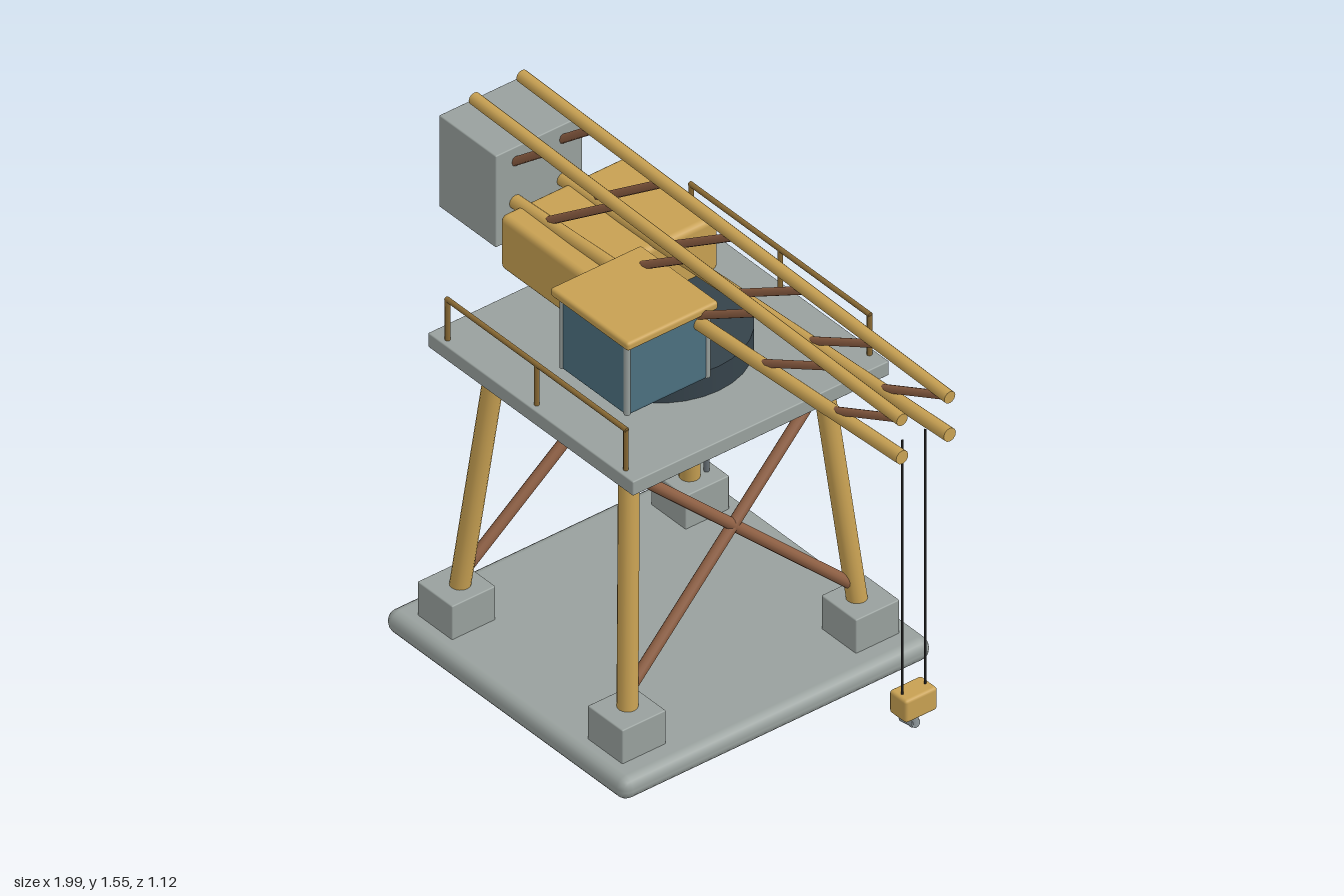
import * as THREE from 'three';
import { RoundedBoxGeometry } from 'three/addons/geometries/RoundedBoxGeometry.js';

const mat = (name, color) => {
  const m = new THREE.MeshStandardMaterial({ color });
  m.name = name;
  return m;
};

export function createModel() {
  const concrete = mat('concrete grey', 0x98a09d);
  const ochre = mat('ochre paint', 0xc7a052);
  const rust = mat('rust brown', 0x8f6044);
  const slate = mat('dark slate', 0x35424a);
  const glass = mat('cab blue', 0x4c7080);
  const bronze = mat('railing bronze', 0x8a6a34);
  const steel = mat('ladder steel', 0x666e74);
  const hookSteel = mat('hook steel', 0x8e979c);
  const black = mat('cable black', 0x1c1c1c);

  const crane = new THREE.Group();
  crane.name = 'dockCrane';
  const CX = -0.21; // centre line of the tower

  const add = (name, geometry, material) => {
    const mesh = new THREE.Mesh(geometry, material);
    mesh.name = name;
    crane.add(mesh);
    return mesh;
  };

  // Box from its limits, rounded when r > 0
  const box = (name, material, [x0, x1], [y0, y1], [z0, z1], r = 0) => {
    const s = [x1 - x0, y1 - y0, z1 - z0];
    const g = r ? new RoundedBoxGeometry(...s, 2, r) : new THREE.BoxGeometry(...s);
    add(name, g, material).position.set((x0 + x1) / 2, (y0 + y1) / 2, (z0 + z1) / 2);
  };

  // Round bar between two points
  const bar = (name, material, a, b, r, sides = 12) => {
    const p = new THREE.Vector3(...a), q = new THREE.Vector3(...b);
    const d = q.clone().sub(p);
    const mesh = add(name, new THREE.CylinderGeometry(r, r, d.length(), sides), material);
    mesh.position.copy(p).add(q).multiplyScalar(0.5);
    mesh.quaternion.setFromUnitVectors(new THREE.Vector3(0, 1, 0), d.normalize());
  };

  // Base slab and platform
  box('baseSlab', concrete, [-0.75, 0.33], [0, 0.075], [-0.56, 0.56], 0.034);
  box('platform', concrete, [-0.67, 0.25], [0.988, 1.037], [-0.463, 0.463], 0.004);

  // Footings, splayed legs and cross braces
  for (const sx of [-1, 1]) {
    for (const sz of [-1, 1]) {
      const fx = CX + sx * 0.382, fz = sz * 0.422;
      box('footing', concrete, [fx - 0.078, fx + 0.078], [0.07, 0.19], [fz - 0.079, fz + 0.079], 0.004);
      bar('leg', ochre, [CX + sx * 0.377, 0.17, sz * 0.416], [CX + sx * 0.295, 1.0, sz * 0.344], 0.031, 16);
      bar('crossBrace', rust, [CX + sx * 0.368, 0.245, sz * 0.395], [CX + sx * 0.304, 0.915, -sz * 0.335], 0.018);
    }
  }

  // Slewing ring
  add('slewingRing', new THREE.CylinderGeometry(0.27, 0.27, 0.09, 32), slate).position.set(CX, 1.077, 0);

  // Operator cab with corner posts and roof
  box('cab', glass, [-0.218, 0.082], [1.115, 1.365], [0.05, 0.35], 0.015);
  for (const x of [-0.212, 0.076]) {
    for (const z of [0.056, 0.344]) {
      bar('cabPost', concrete, [x, 1.122, z], [x, 1.36, z], 0.01, 8);
    }
  }
  box('cabRoof', ochre, [-0.245, 0.105], [1.361, 1.39], [0.035, 0.365], 0.01);

  // Machinery house and counterweight
  box('machineryHouse', ochre, [-0.71, -0.315], [1.107, 1.294], [-0.305, 0.173], 0.02);
  box('counterweight', concrete, [-1, -0.745], [1.15, 1.468], [-0.157, 0.157], 0.004);

  // Twin jib trusses
  const top = (x) => 1.5 + (0.99 - x) * 0.0177;
  const low = (x) => 1.37 - (0.99 - x) * 0.052;
  const x0 = -0.93, x1 = 0.99, bays = 6, step = (x1 - x0) / bays;
  for (const z of [-0.086, 0.086]) {
    bar('upperChord', ochre, [x0, top(x0), z], [x1, top(x1), z], 0.02);
    bar('lowerChord', ochre, [x0, low(x0), z], [x1, low(x1), z], 0.022);
    for (let i = 0; i < bays; i++) {
      const a = x0 + i * step, b = Math.min(a + step, 0.98);
      bar('jibDiagonal', rust, [a, low(a), z], [b, top(b), z], 0.013, 8);
    }
  }

  // Hoist cables, hook block and hook
  for (const z of [-0.041, 0.041]) {
    bar('hoistCable', black, [0.935, 0.48, z], [0.935, 1.378, z], 0.004, 6);
  }
  box('hookBlock', ochre, [0.895, 0.972], [0.418, 0.496], [-0.058, 0.058], 0.01);
  bar('hookShank', hookSteel, [0.935, 0.43, 0], [0.935, 0.37, 0], 0.014);
  bar('hookTip', hookSteel, [0.945, 0.382, 0], [0.886, 0.371, 0], 0.015);

  // Side railings
  for (const z of [-0.44, 0.44]) {
    bar('handrail', bronze, [-0.615, 1.176, z], [0.195, 1.176, z], 0.008, 8);
    for (const x of [-0.61, CX, 0.19]) {
      bar('railPost', bronze, [x, 1.03, z], [x, 1.176, z], 0.008, 8);
    }
  }

  // Ladder at the back
  const lz = -0.466;
  for (const x of [-0.657, -0.573]) {
    bar('ladderRail', steel, [x, 0.18, lz], [x, 1.056, lz], 0.008, 8);
  }
  for (let i = 0; i < 10; i++) {
    const y = 0.265 + i * 0.0875;
    bar('ladderRung', steel, [-0.657, y, lz], [-0.573, y, lz], 0.006, 8);
  }

  return crane;
}
